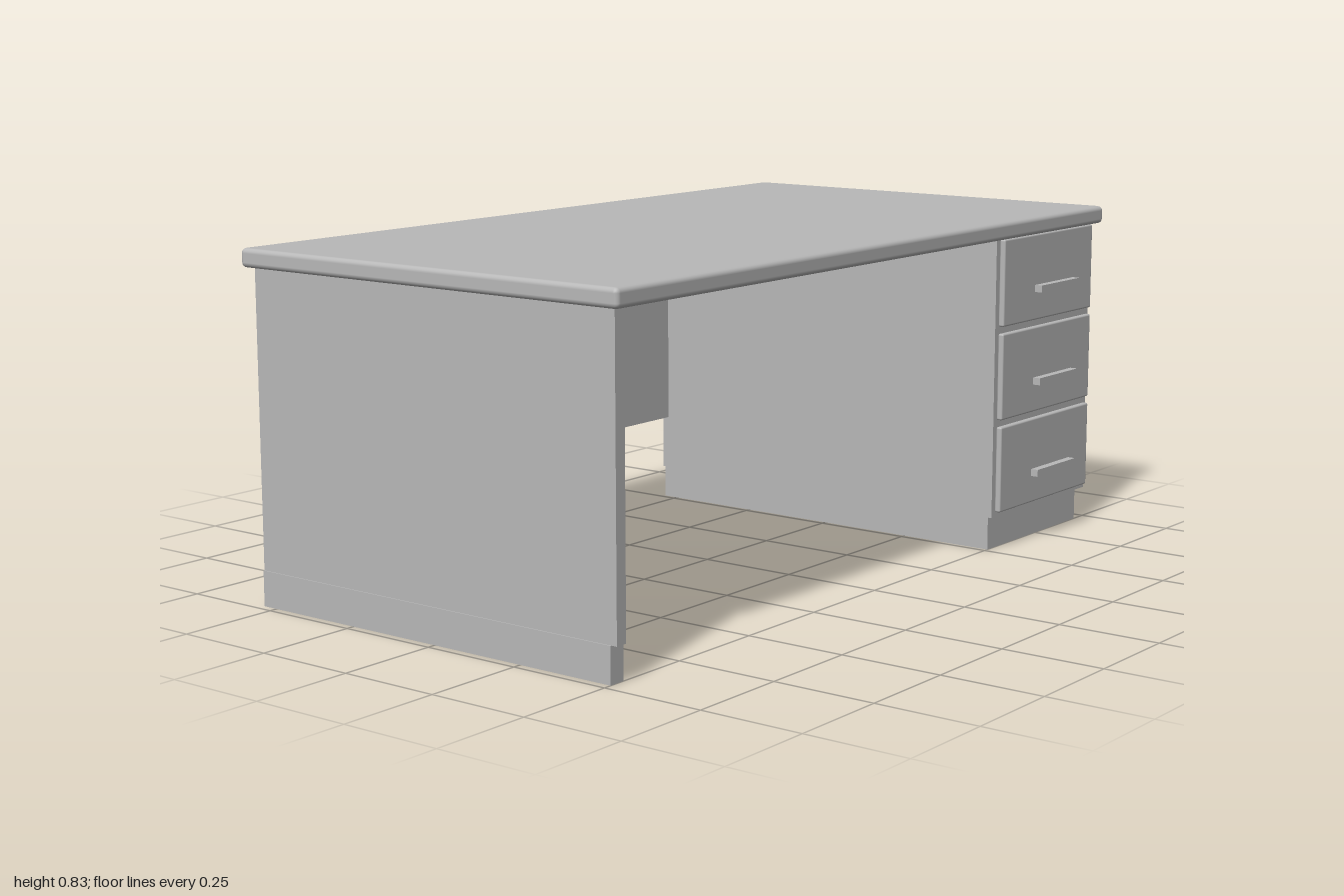
import * as THREE from 'three';
import { RoundedBoxGeometry } from 'three/addons/geometries/RoundedBoxGeometry.js';

export function createModel() {
  const desk = new THREE.Group();
  desk.name = 'desk';
  const grey = new THREE.MeshStandardMaterial({ color: 0xb8b8b8 });
  grey.name = 'grey';

  // Box from its limits on each axis, with optionally rounded edges
  function block(name, [x0, x1], [y0, y1], [z0, z1], radius = 0) {
    const size = [x1 - x0, y1 - y0, z1 - z0];
    const geometry = radius
      ? new RoundedBoxGeometry(...size, 2, radius)
      : new THREE.BoxGeometry(...size);
    const mesh = new THREE.Mesh(geometry, grey);
    mesh.name = name;
    mesh.position.set((x0 + x1) / 2, (y0 + y1) / 2, (z0 + z1) / 2);
    desk.add(mesh);
  }

  // Worktop with softened edges
  block('worktop', [-1, 1], [0.79, 0.835], [-0.563, 0.54], 0.012);

  // Side support and its foot
  block('sidePanel', [-0.977, -0.947], [0.085, 0.79], [-0.54, 0.515]);
  block('sideFoot', [-0.98, -0.938], [0, 0.085], [-0.54, 0.5]);

  // Back panel spanning the knee space
  block('backPanel', [-0.947, 0.505], [0.225, 0.79], [-0.54, -0.522]);

  // Drawer cabinet on its plinth
  block('cabinet', [0.505, 0.973], [0.085, 0.79], [-0.54, 0.515]);
  block('cabinetPlinth', [0.513, 0.955], [0, 0.085], [-0.54, 0.5]);

  // Drawer fronts, each with a bar handle
  for (let i = 0; i < 3; i++) {
    const y = 0.098 + i * 0.2365;
    block('drawerFront', [0.518, 0.96], [y, y + 0.219], [0.515, 0.531], 0.005);
    block('drawerHandle', [0.645, 0.835], [y + 0.076, y + 0.094], [0.545, 0.565]);
  }
  return desk;
}
